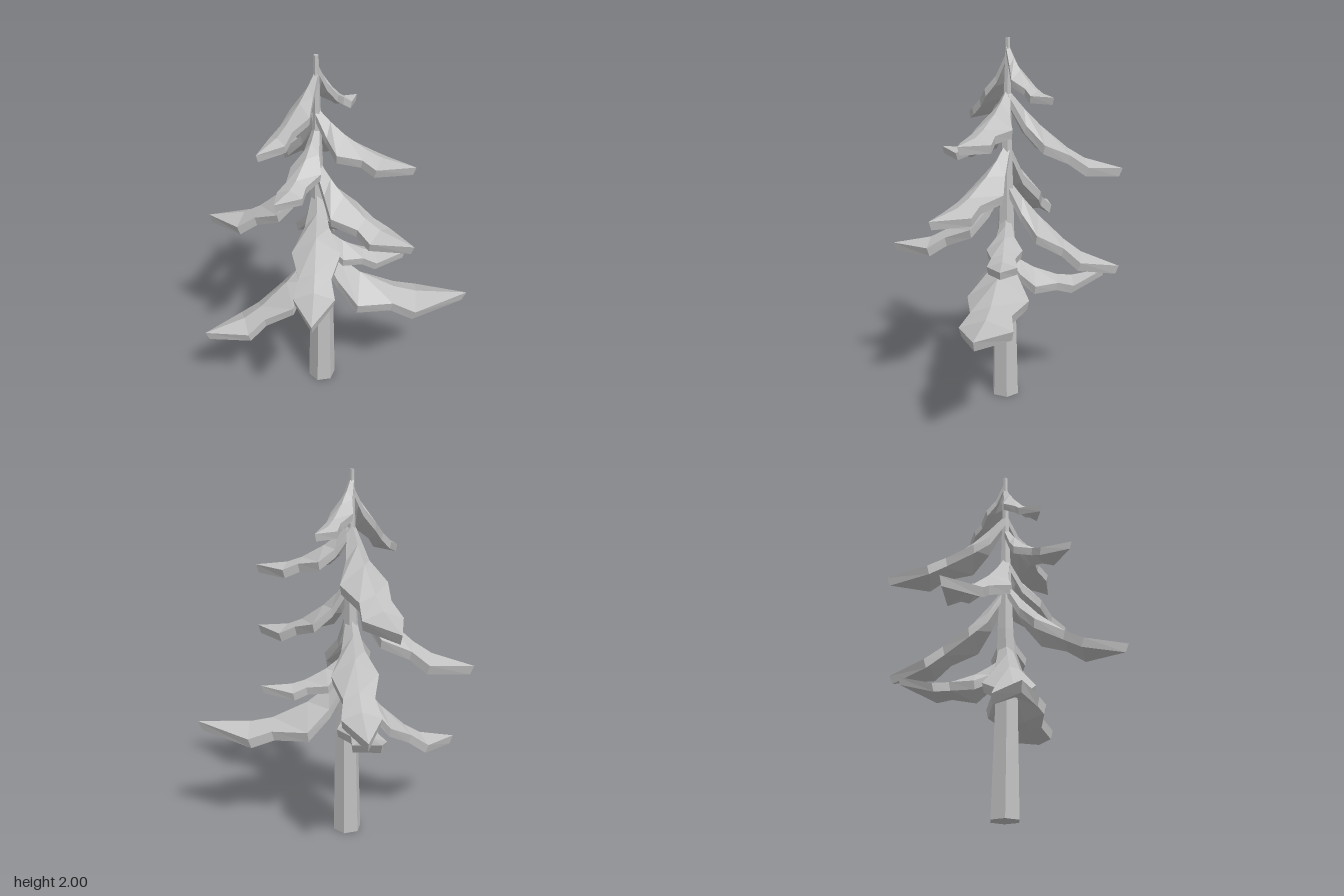
import * as THREE from 'three';

// Trunk centre line and radius: [y, x, z, radius]
const TRUNK = [
  [0, -0.07, -0.025, 0.08],
  [0.6, -0.065, -0.022, 0.066],
  [1.0, -0.085, -0.02, 0.048],
  [1.5, -0.085, -0.022, 0.028],
  [2, -0.087, -0.025, 0.013],
];

// Boughs: tip x, y, z, height of the root, steepness of the curve, sag
const BOUGHS = [
  [0.03, 1.71, -0.33, 1.97, 2.2, 0],
  [-0.28, 1.59, 0.30, 1.93, 1.7, 0],
  [0.44, 1.50, 0.00, 1.74, 2.2, 0],
  [-0.15, 1.40, 0.41, 1.66, 2.6, 0.01],
  [-0.43, 1.30, -0.57, 1.74, 1.8, 0],
  [0.485, 1.13, 0.14, 1.46, 2.2, 0],
  [-0.74, 1.01, -0.01, 1.46, 1.9, 0],
  [0.10, 0.87, 0.60, 1.30, 2.1, 0],
  [0.37, 0.88, -0.19, 1.08, 2.5, 0.01],
  [-0.29, 0.78, -0.61, 1.27, 1.7, 0],
  [0.73, 0.66, -0.22, 0.99, 3, 0.02],
  [-0.34, 0.74, -0.52, 0.86, 2.5, 0.05],
  [-0.63, 0.46, 0.36, 0.96, 2, 0],
];

// Cross-sections along a bough, in bough lengths: distance, half width, edge drop
const SECTIONS = [
  [0, 0.04, 0.05],
  [0.14, 0.10, 0.13],
  [0.28, 0.20, 0.14],
  [0.51, 0.13, 0.05],
  [0.66, 0.165, 0.06],
  [1, 0, 0],
];

// Trunk centre and radius at a height
function trunkAt(y) {
  let i = 0;
  while (i < TRUNK.length - 2 && y > TRUNK[i + 1][0]) i++;
  const a = TRUNK[i], b = TRUNK[i + 1];
  const t = (y - a[0]) / (b[0] - a[0]);
  return [1, 2, 3].map((k) => a[k] + (b[k] - a[k]) * t);
}

// Six-sided trunk that tapers and leans a little
function trunkGeometry() {
  const geo = new THREE.CylinderGeometry(1, 1, 2, 6, 20).translate(0, 1, 0);
  const p = geo.attributes.position;
  for (let i = 0; i < p.count; i++) {
    const [x, z, r] = trunkAt(p.getY(i));
    p.setXYZ(i, x + p.getX(i) * r, p.getY(i), z + p.getZ(i) * r);
  }
  geo.computeVertexNormals();
  return geo;
}

// Drooping, ridged blade with a notched outline and an even thickness
function boughGeometry([tx, ty, tz, rootY, steep, sag]) {
  const [rx, rz] = trunkAt(rootY);
  const length = Math.hypot(tx - rx, tz - rz);
  const dx = (tx - rx) / length, dz = (tz - rz) / length;
  const thick = 0.025 + 0.035 * length;
  const pos = [], index = [];

  for (const [f, w, drop] of SECTIONS) {
    const y = ty + (rootY - ty) * (1 - f) ** steep - sag * Math.sin(Math.PI * f);
    const low = y - drop * length;
    const half = w * length;
    const along = f * length, under = along * 0.97;
    // ridge, right edge, right underside, keel, left underside, left edge
    const loop = [
      [0, y, along], [-half, low, along], [-half * 0.93, low - thick, under],
      [0, y - thick, under], [half * 0.93, low - thick, under], [half, low, along],
    ];
    for (const [s, h, d] of loop) pos.push(rx + dx * d + dz * s, h, rz + dz * d - dx * s);
  }
  for (let i = 0; i < SECTIONS.length - 1; i++) {
    for (let j = 0; j < 6; j++) {
      const a = i * 6 + j, b = i * 6 + ((j + 1) % 6);
      index.push(a, b, b + 6, a, b + 6, a + 6);
    }
  }
  // Root cap
  index.push(0, 3, 2, 0, 2, 1, 0, 5, 4, 0, 4, 3);

  const geo = new THREE.BufferGeometry();
  geo.setAttribute('position', new THREE.Float32BufferAttribute(pos, 3));
  geo.setIndex(index);
  const flat = geo.toNonIndexed();
  flat.computeVertexNormals();
  return flat;
}

export function createModel() {
  const grey = new THREE.MeshStandardMaterial({ color: 0xc0c0c0, flatShading: true });
  grey.name = 'grey';

  const tree = new THREE.Group();
  tree.name = 'tree';

  const trunk = new THREE.Mesh(trunkGeometry(), grey);
  trunk.name = 'trunk';
  tree.add(trunk);

  BOUGHS.forEach((spec, i) => {
    const bough = new THREE.Mesh(boughGeometry(spec), grey);
    bough.name = `bough${i + 1}`;
    tree.add(bough);
  });
  return tree;
}
